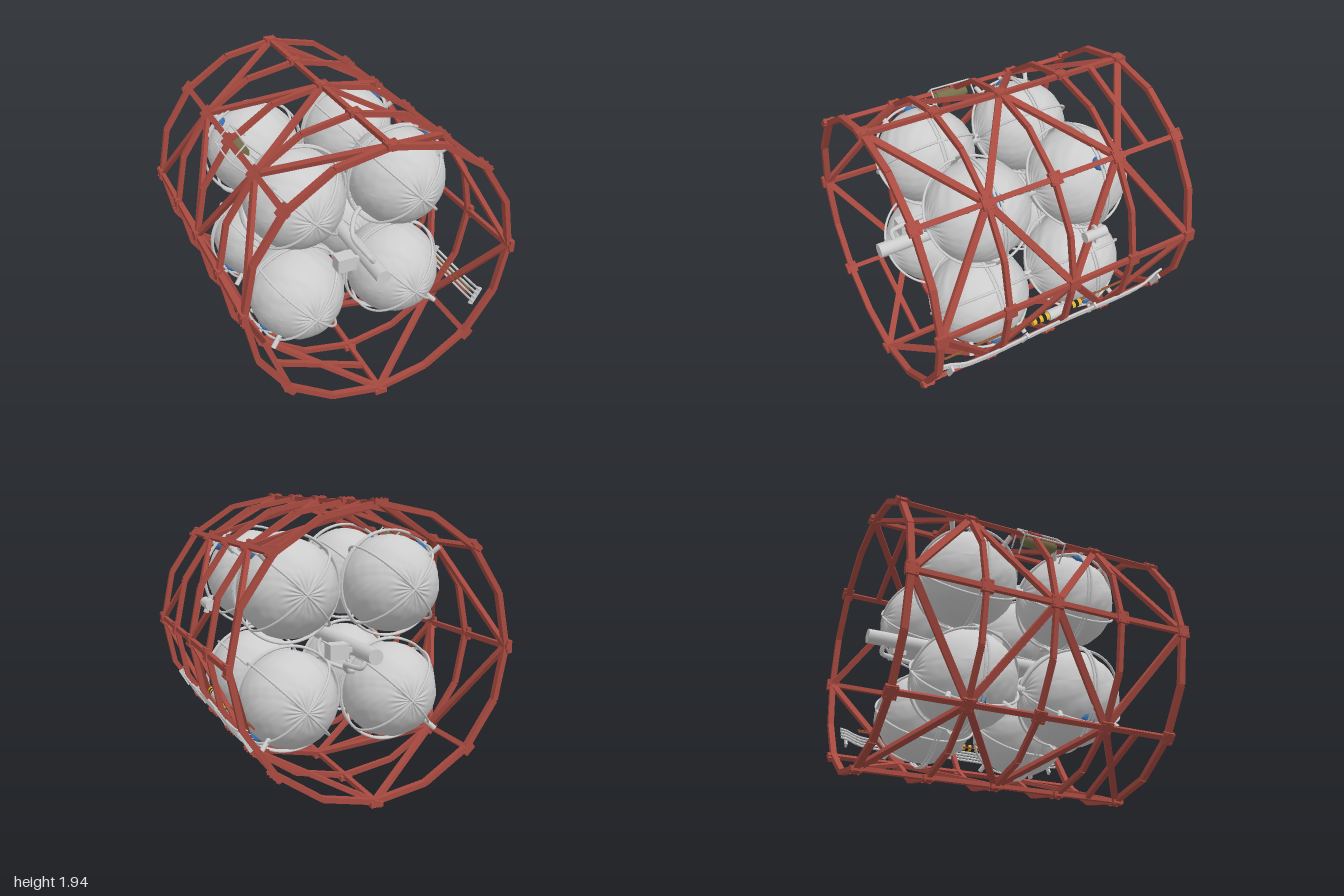
import * as THREE from 'three';

const CY = 0.965;      // height of the frame axis
const R = 0.935;       // frame radius
const STATIONS = [-0.96, -0.48, 0, 0.48, 0.96];
const V = (x, y, z) => new THREE.Vector3(x, y, z);
const polar = (a, r, z) => V(r * Math.cos(a), CY + r * Math.sin(a), z);

const mat = (color) => new THREE.MeshStandardMaterial({ color });
const grey = mat(0xcccccc), red = mat(0xa84a40), blue = mat(0x3a70b0);
const olive = mat(0x75704a), yellow = mat(0xe0b52c), black = mat(0x222222), brown = mat(0x8a5a2a);

function add(parent, name, geo, material, pos = V(0, 0, 0)) {
  const m = new THREE.Mesh(geo, material);
  m.name = name;
  m.position.copy(pos);
  parent.add(m);
  return m;
}
const box = (w, h, d) => new THREE.BoxGeometry(w, h, d);
const rodZ = (r, len, n = 20) => new THREE.CylinderGeometry(r, r, len, n).rotateX(Math.PI / 2);
const tube = (pts, r) => new THREE.TubeGeometry(new THREE.CatmullRomCurve3(pts), 32, r, 8);

// Rectangular bar between two points, its thickness facing away from the axis
function beam(parent, name, a, b, width, thick) {
  const mid = a.clone().add(b).multiplyScalar(0.5);
  const y = b.clone().sub(a).normalize();
  const out = V(mid.x, mid.y - CY, 0);
  const x = out.addScaledVector(y, -out.dot(y)).normalize();
  const z = x.clone().cross(y);
  const m = add(parent, name, box(thick, a.distanceTo(b), width), red, mid);
  m.quaternion.setFromRotationMatrix(new THREE.Matrix4().makeBasis(x, y, z));
}

// Plain round bar between two points
function rod(parent, name, a, b, r, material = grey) {
  add(parent, name, new THREE.TubeGeometry(new THREE.LineCurve3(a, b), 1, r, 8), material);
}

// Group whose local x points outward from the axis
function radialGroup(parent, name, a, r, z) {
  const g = new THREE.Group();
  g.name = name;
  g.position.copy(polar(a, r, z));
  g.rotation.z = a;
  parent.add(g);
  return g;
}

function buildFrame() {
  const frame = new THREE.Group();
  frame.name = 'trussFrame';
  const step = Math.PI / 4;
  const bolt = new THREE.CylinderGeometry(0.007, 0.007, 0.012, 6).rotateZ(Math.PI / 2);
  for (const z of STATIONS) {
    const w = Math.abs(z) > 0.9 ? 0.042 : 0.032;
    for (let i = 0; i < 16; i++)
      beam(frame, 'ringBar', polar(i * step / 2, R, z), polar((i + 1) * step / 2, R, z), w, 0.036);
    for (let i = 0; i < 8; i++) {
      const node = radialGroup(frame, 'nodePlate', i * step, R + 0.01, z);
      add(node, 'plate', box(0.032, 0.085, 0.08), red);
      for (const [sy, sz] of [[-1, -1], [-1, 1], [1, -1], [1, 1]])
        add(node, 'bolt', bolt, red, V(0.017, sy * 0.028, sz * 0.026));
    }
  }
  for (let i = 0; i < 8; i++)
    beam(frame, 'stringer', polar(i * step, R, -1), polar(i * step, R, 1), 0.034, 0.03);
  // diagonals zigzag between the even and odd stringers
  for (let i = 0; i < 8; i += 2)
    for (const side of [-1, 1])
      for (const zo of [-0.48, 0.48])
        for (const dz of [-0.48, 0.48])
          beam(frame, 'diagonal', polar(i * step, R, zo + dz), polar((i + side) * step, R, zo), 0.045, 0.03);
  // two extra cross bars
  beam(frame, 'crossBar', polar(step, R, -0.72), polar(2 * step, R, -0.72), 0.036, 0.034);
  beam(frame, 'crossBar', polar(5 * step, R, 0.72), polar(6 * step, R, 0.72), 0.036, 0.034);
  return frame;
}

// Wrinkled blanket: ripples all over, spokes gathered at the poles
function blanketGeometry() {
  const g = new THREE.SphereGeometry(1, 80, 48).rotateX(Math.PI / 2);
  const p = g.attributes.position, v = V(0, 0, 0);
  for (let i = 0; i < p.count; i++) {
    v.fromBufferAttribute(p, i);
    const a = Math.atan2(v.y, v.x), rho = Math.hypot(v.x, v.y);
    const spokes = Math.sin(a * 20) * Math.exp(-(((rho - 0.25) / 0.16) ** 2));
    const swirl = Math.sin(a * 9 + v.z * 7) * rho * rho;
    const crumple = Math.sin(v.x * 17 + 3 * Math.sin(v.y * 9)) * Math.sin(v.y * 15 + v.z * 19) * rho;
    const k = 1 + 0.016 * spokes + 0.006 * swirl + 0.009 * crumple;
    p.setXYZ(i, v.x * k * 0.332, v.y * k * 0.332, v.z * k * 0.35);
  }
  g.computeVertexNormals();
  return g;
}

function buildTanks() {
  const tanks = new THREE.Group();
  tanks.name = 'tanks';
  const blanket = blanketGeometry();
  const band = new THREE.TorusGeometry(0.364, 0.009, 8, 64);
  const strap = new THREE.TorusGeometry(0.364, 0.009, 8, 64).rotateX(Math.PI / 2);
  for (const sx of [-1, 1]) for (const sy of [-1, 1]) {
    for (const sz of [-1, 1]) {
      const t = new THREE.Group();
      t.name = 'tank';
      t.position.set(sx * 0.373, CY + 0.375 + (sy < 0 ? -0.75 : 0), sz * 0.385);
      tanks.add(t);
      add(t, 'blanket', blanket, grey);
      for (const dz of [-0.012, 0.012]) add(t, 'equatorBand', band, grey, V(0, 0, dz));
      for (const r of [1, -1]) add(t, 'meridianStrap', strap, grey).rotation.z = r * Math.PI / 4;
      // outward fittings toward the frame corner
      const d = Math.SQRT1_2, at = (r, z) => V(sx * d * r, sy * d * r, z);
      rod(t, 'bluePort', at(0.3, 0), at(0.345, 0), 0.05, blue);
      add(t, 'portCap', new THREE.SphereGeometry(0.05, 20, 12), blue, at(0.318, 0));
      for (const dz of [-0.2, 0.2]) rod(t, 'mountLug', at(0.27, dz * 0.9), at(0.37, dz * 1.08), 0.018);
      rod(t, 'cornerMount', at(0.36, 0), at(0.41, 0), 0.014);
    }
    add(tanks, 'tankLink', rodZ(0.034, 0.16), grey, V(sx * 0.373, CY + sy * 0.375, 0));
  }
  return tanks;
}

function buildCore() {
  const core = new THREE.Group();
  core.name = 'centralPlumbing';
  add(core, 'mainPipe', rodZ(0.05, 1.9, 24), grey, V(0, CY, 0));
  for (const s of [-1, 1]) {
    add(core, 'sideBox', box(0.13, 0.1, 0.095), grey, V(-s * 0.15, CY, s * 0.69));
    add(core, 'boxArm', box(0.06, 0.03, 0.03), grey, V(-s * 0.07, CY, s * 0.69));
    add(core, 'feedPipe', tube([
      V(0, CY + s * 0.03, s * 0.83), V(-s * 0.04, CY + s * 0.09, s * 0.83), V(-s * 0.05, CY + s * 0.1, s * 0.78),
      V(-s * 0.05, CY + s * 0.12, s * 0.6), V(s * 0.01, CY + s * 0.19, s * 0.5), V(s * 0.13, CY + s * 0.22, s * 0.4)], 0.017), grey);
    add(core, 'returnPipe', tube([
      V(0, CY, -s * 0.15), V(s * 0.06, CY - s * 0.06, -s * 0.15),
      V(s * 0.05, CY - s * 0.16, -s * 0.2), V(-s * 0.09, CY - s * 0.23, -s * 0.3)], 0.014), grey);
  }
  add(core, 'valveBox', box(0.09, 0.15, 0.09), grey, V(0, CY + 0.14, 0));
  return core;
}

function buildRails() {
  // local x outward, y around the ring
  const g = radialGroup(new THREE.Group(), 'railBundle', -0.53, 0.955, 0);
  for (let i = 0; i < 4; i++) {
    const y = (i - 1.5) * 0.032;
    add(g, 'rail', tube([V(-0.06, y + 0.02, -0.9), V(-0.05, y + 0.015, -0.84), V(-0.02, y, -0.74), V(-0.02, y, 0),
      V(-0.02, y, 0.74), V(-0.05, y + 0.015, 0.84), V(-0.06, y + 0.02, 0.9)], 0.009), grey);
  }
  for (const z of [-0.85, -0.28, 0.28, 0.85]) add(g, 'clamp', box(0.035, 0.14, 0.015), grey, V(-0.02, 0, z));
  rod(g, 'longRod', V(-0.1, 0.03, -0.78), V(-0.1, 0.03, 0.86), 0.006, brown);
  rod(g, 'longRod', V(-0.11, 0, -0.78), V(-0.11, 0, 0.86), 0.006, red);
  // striped actuator
  add(g, 'actuatorBody', rodZ(0.038, 0.14), grey, V(-0.09, 0.02, -0.01));
  for (const s of [-1, 1]) for (let k = 0; k < 5; k++)
    add(g, 'stripe', rodZ(0.025, 0.026), k % 2 ? black : yellow, V(-0.09, 0.02, -0.01 + s * (0.083 + k * 0.026)));
  return g;
}

function buildSideUnits() {
  const g = new THREE.Group();
  g.name = 'sideUnits';
  // small thruster-like cylinder on the left flank
  const pod = radialGroup(g, 'flankPod', 0.31, 0.9, -0.2);
  add(pod, 'podBody', rodZ(0.036, 0.16), grey);
  add(pod, 'podCollar', box(0.03, 0.12, 0.02), grey);
  // caged canister on the upper right flank
  const cage = radialGroup(g, 'canisterCage', Math.PI * 0.75, 0.95, 0.05);
  add(cage, 'canister', rodZ(0.045, 0.22), olive, V(-0.055, -0.01, 0));
  for (const s of [-1, 1]) {
    add(cage, 'canisterCap', rodZ(0.035, 0.02), olive, V(-0.055, -0.01, s * 0.118));
    rod(cage, 'cageSide', V(0, s * 0.078, -0.155), V(0, s * 0.078, 0.155), 0.006);
    rod(cage, 'cageEnd', V(0, -0.078, s * 0.155), V(0, 0.078, s * 0.155), 0.006);
    for (const t of [-1, 1]) rod(cage, 'cageLeg', V(0, s * 0.078, t * 0.155), V(-0.14, s * 0.078, t * 0.155), 0.006);
  }
  return g;
}

export function createModel() {
  const model = new THREE.Group();
  model.name = 'tankModule';
  model.add(buildFrame(), buildTanks(), buildCore(), buildRails(), buildSideUnits());
  return model;
}
